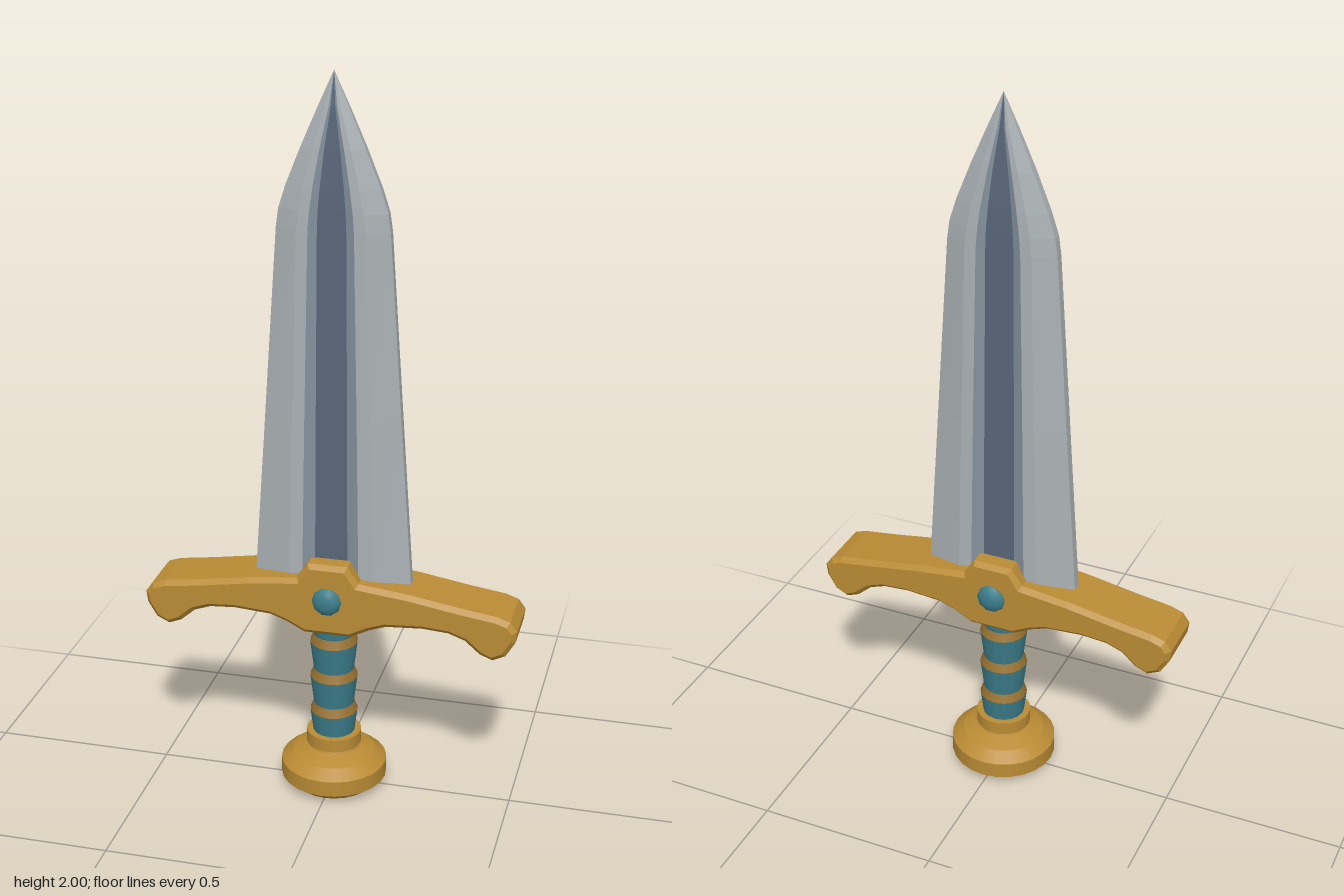
import * as THREE from 'three';

const mat = (name, color) => new THREE.MeshStandardMaterial({ name, color });

export function createModel() {
  const steel = mat('pale steel', 0xaab1b4);
  const midSteel = mat('mid steel', 0x84909b);
  const darkSteel = mat('dark blue steel', 0x586579);
  const gold = mat('gold', 0xb98b34);
  const bronze = mat('dark bronze', 0x96702f);
  const teal = mat('teal', 0x3b7c8a);

  const model = new THREE.Group();
  model.name = 'dagger';
  const add = (name, geometry, material, parent = model) => {
    const mesh = new THREE.Mesh(geometry, material);
    mesh.name = name;
    parent.add(mesh);
    return mesh;
  };

  // Blade stations: y, edge x, edge z, ridge x, ridge z, groove rim x, groove floor x, floor z
  const stations = [
    [0.61, 0.217, 0.013, 0.115, 0.045, 0.078, 0.045, 0.033],
    [1.10, 0.183, 0.013, 0.103, 0.041, 0.070, 0.042, 0.030],
    [1.60, 0.149, 0.012, 0.090, 0.037, 0.060, 0.038, 0.027],
    [1.65, 0.142, 0.012, 0.084, 0.036, 0.056, 0.036, 0.027],
    [1.71, 0.123, 0.011, 0.073, 0.033, 0.048, 0.031, 0.025],
    [1.81, 0.083, 0.010, 0.048, 0.025, 0.031, 0.020, 0.020],
    [1.91, 0.040, 0.006, 0.020, 0.014, 0.011, 0.006, 0.012],
    [2.00, 0, 0, 0, 0, 0, 0, 0],
  ];
  // Half cross-section running left to right, then round the right edge
  const section = ([y, w, ze, r, zr, s, f, zf]) => [
    [-w, ze], [-r, zr], [-s, zr * 0.98], [-f, zf], [f, zf], [s, zr * 0.98], [r, zr], [w, ze], [w, -ze],
  ].map(([x, z]) => [x, y, z]);

  const bladeStrips = (columns) => {
    const pos = [];
    for (let i = 0; i < stations.length - 1; i++) {
      const low = section(stations[i]), high = section(stations[i + 1]);
      for (const c of columns) {
        pos.push(...low[c], ...low[c + 1], ...high[c + 1]);
        if (i < stations.length - 2) pos.push(...low[c], ...high[c + 1], ...high[c]);
      }
    }
    const g = new THREE.BufferGeometry();
    g.setAttribute('position', new THREE.Float32BufferAttribute(pos, 3));
    g.computeVertexNormals();
    return g;
  };

  // The two blade faces are half-turn copies
  for (const turn of [0, Math.PI]) {
    const face = new THREE.Group();
    face.name = turn ? 'bladeBack' : 'bladeFront';
    face.rotation.y = turn;
    model.add(face);
    add('cuttingBevels', bladeStrips([0, 1, 5, 6, 7]), steel, face);
    add('grooveSides', bladeStrips([2, 4]), midSteel, face);
    add('groove', bladeStrips([3]), darkSteel, face);
  }

  // Crossguard: mirrored outline, extruded with a small bevel
  const half = [
    [0.055, 0.698], [0.085, 0.652], [0.22, 0.637], [0.36, 0.614], [0.46, 0.6], [0.495, 0.588],
    [0.514, 0.562], [0.51, 0.53], [0.485, 0.488], [0.45, 0.471], [0.415, 0.485], [0.375, 0.52],
    [0.33, 0.536], [0.26, 0.541], [0.16, 0.534], [0.115, 0.518], [0.065, 0.492],
  ];
  const outline = [...half, ...half.map(([x, y]) => [-x, y]).reverse()].map(([x, y]) => new THREE.Vector2(x, y));
  const bevel = 0.013;
  const guard = new THREE.ExtrudeGeometry(new THREE.Shape(outline), {
    depth: 0.17 - 2 * bevel, bevelEnabled: true, bevelSegments: 1,
    bevelSize: bevel, bevelOffset: -bevel, bevelThickness: bevel,
  });
  guard.translate(0, 0, -0.085 + bevel);
  add('crossguard', guard, gold);

  // Domed gems on both sides of the guard
  for (const side of [1, -1]) {
    const dome = new THREE.SphereGeometry(0.042, 10, 4, 0, Math.PI * 2, 0, Math.PI / 2);
    dome.scale(1, 0.6, 1);
    dome.rotateX(side * Math.PI / 2);
    add(side > 0 ? 'frontGem' : 'backGem', dome, teal).position.set(0, 0.595, side * 0.081);
  }

  // Grip: tapering wraps separated by flared bands
  const taper = (name, top, bottom, rTop, rBottom, material) => {
    const g = new THREE.CylinderGeometry(rTop, rBottom, top - bottom, 16, 1, true);
    add(name, g, material).position.y = (top + bottom) / 2;
  };
  taper('gripTop', 0.53, 0.462, 0.064, 0.056, teal);
  for (let i = 0; i < 3; i++) {
    const y = 0.462 - i * 0.106;
    taper('gripBand', y, y - 0.024, 0.056, 0.066, bronze);
    taper('gripWrap', y - 0.024, y - 0.106, 0.066, 0.056, teal);
  }

  // Pommel with its collar; repeated points keep the edges sharp
  const profile = [
    [0, 0], [0.112, 0], [0.147, 0.028], [0.147, 0.073], [0.115, 0.098], [0.07, 0.115],
    [0.066, 0.124], [0.076, 0.126], [0.076, 0.163], [0.05, 0.163],
  ];
  const pommel = new THREE.Group();
  pommel.name = 'pommel';
  model.add(pommel);
  for (let i = 0; i < profile.length - 1; i++) {
    const pts = [profile[i], profile[i + 1]].map(([r, y]) => new THREE.Vector2(r, y));
    add('pommelBand', new THREE.LatheGeometry(pts, 24), gold, pommel);
  }

  return model;
}
